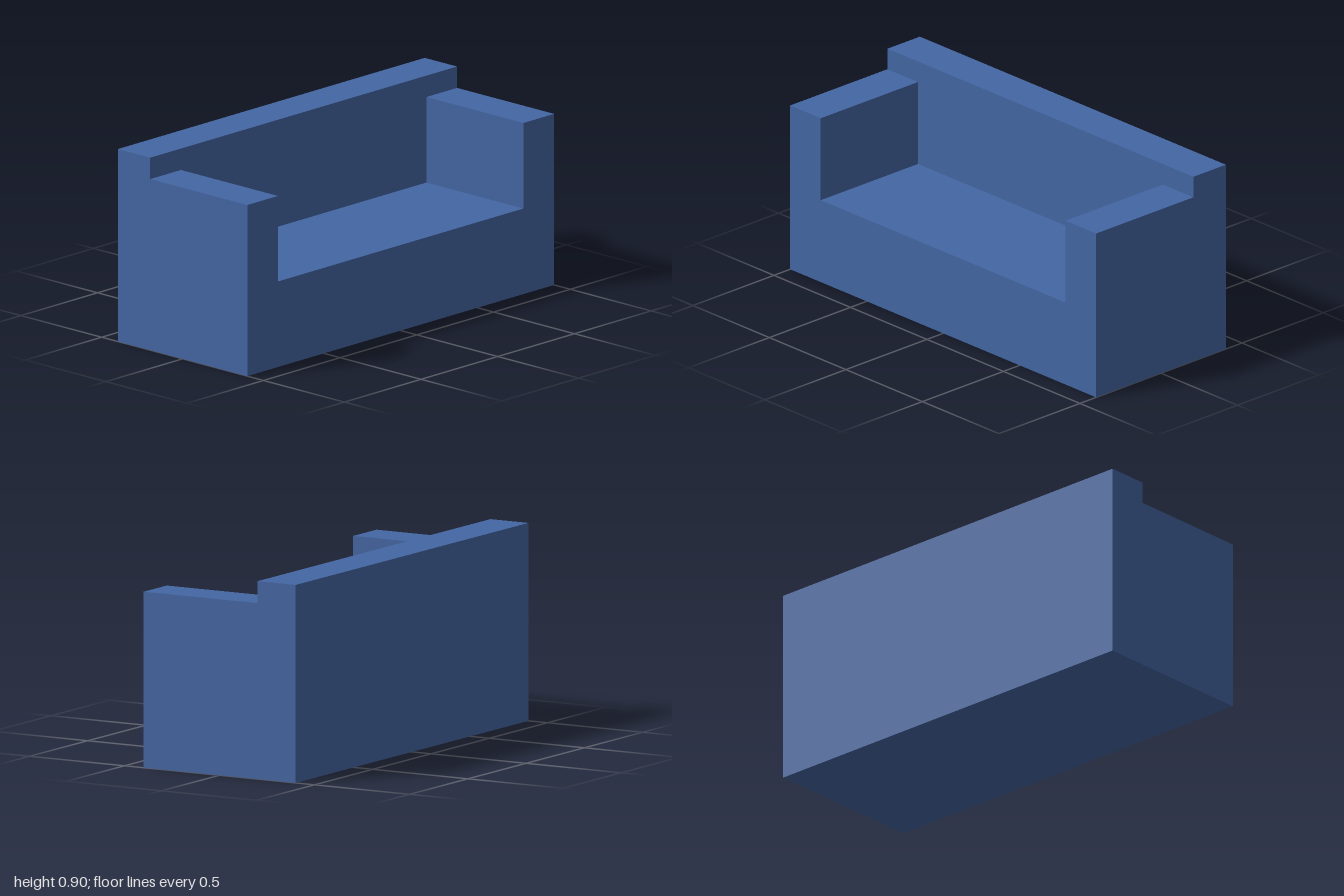
import * as THREE from 'three';

const WIDTH = 2, BACK_HEIGHT = 0.9, ARM_HEIGHT = 0.8, SEAT_HEIGHT = 0.4;
const ARM_WIDTH = 0.2, BACK_DEPTH = 0.2, SEAT_DEPTH = 0.6;

export function createModel() {
  const sofa = new THREE.Group();
  sofa.name = 'sofa';
  const fabric = new THREE.MeshStandardMaterial({ color: 0x4466a4 });

  // Seat and both arms: one U-shaped front outline, extruded forward from the backrest
  const outer = WIDTH / 2, inner = outer - ARM_WIDTH;
  const outline = new THREE.Shape([
    [-outer, 0], [outer, 0], [outer, ARM_HEIGHT], [inner, ARM_HEIGHT],
    [inner, SEAT_HEIGHT], [-inner, SEAT_HEIGHT], [-inner, ARM_HEIGHT], [-outer, ARM_HEIGHT],
  ].map(([x, y]) => new THREE.Vector2(x, y)));
  const seat = new THREE.Mesh(
    new THREE.ExtrudeGeometry(outline, { depth: SEAT_DEPTH, bevelEnabled: false }), fabric);
  seat.name = 'seatAndArms';
  seat.position.z = -0.2;
  sofa.add(seat);

  // Backrest: full-width slab, slightly taller than the arms
  const back = new THREE.Mesh(new THREE.BoxGeometry(WIDTH, BACK_HEIGHT, BACK_DEPTH), fabric);
  back.name = 'backrest';
  back.position.set(0, BACK_HEIGHT / 2, -0.3);
  sofa.add(back);

  return sofa;
}
